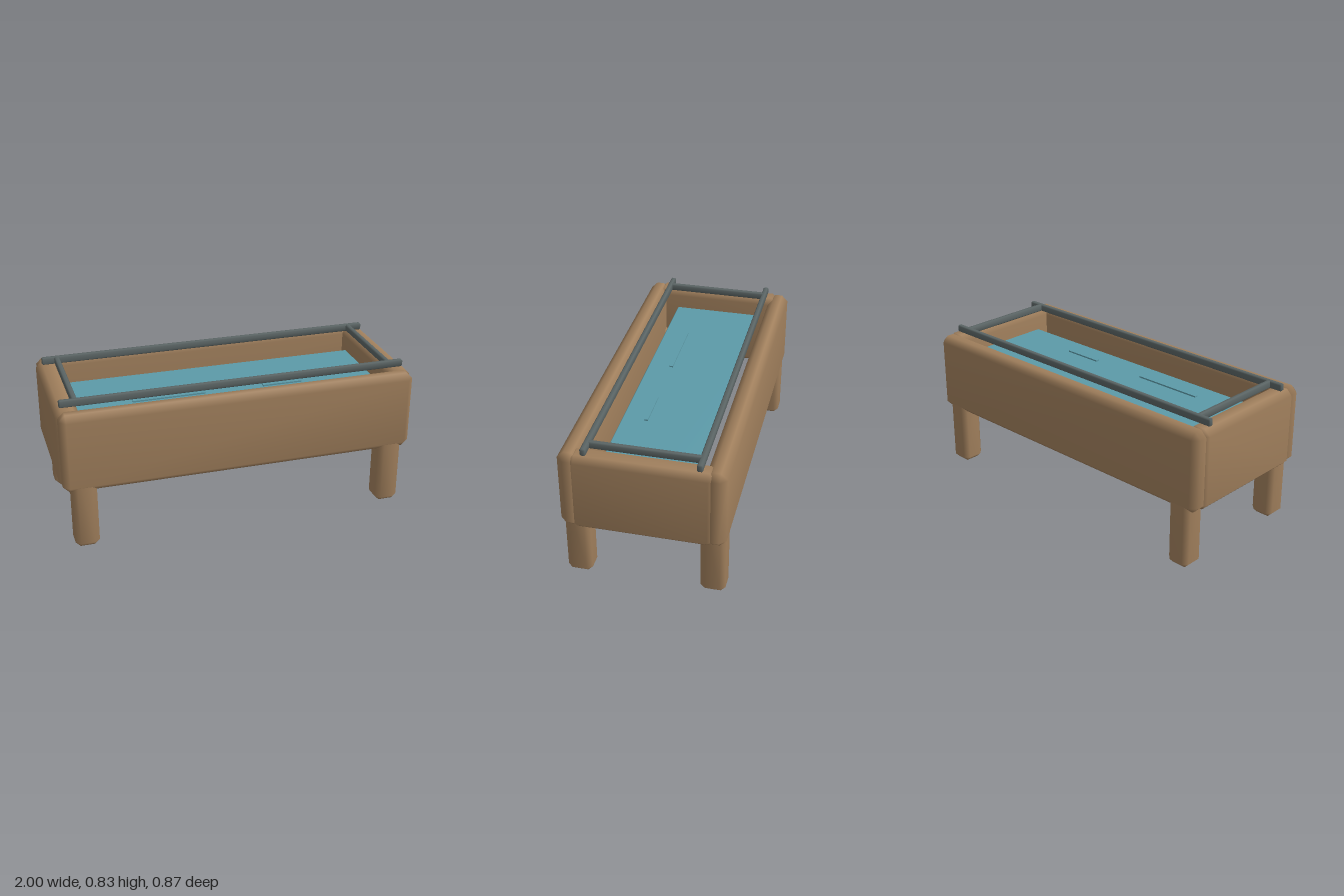
import * as THREE from 'three';
import { mergeVertices } from 'three/addons/utils/BufferGeometryUtils.js';
import { ConvexGeometry } from 'three/addons/geometries/ConvexGeometry.js';

// Box with a single chamfer on every edge and softly shaded corners
function chamferBox(w, h, d, c) {
  const points = [];
  for (const sx of [-1, 1]) for (const sy of [-1, 1]) for (const sz of [-1, 1]) {
    const x = w / 2, y = h / 2, z = d / 2;
    points.push(
      new THREE.Vector3(sx * x, sy * (y - c), sz * (z - c)),
      new THREE.Vector3(sx * (x - c), sy * y, sz * (z - c)),
      new THREE.Vector3(sx * (x - c), sy * (y - c), sz * z)
    );
  }
  const hull = new ConvexGeometry(points);
  hull.deleteAttribute('normal');
  const geometry = mergeVertices(hull, 1e-4);
  geometry.computeVertexNormals();
  return geometry;
}

export function createModel() {
  const model = new THREE.Group();
  model.name = 'waterTrough';

  const wood = new THREE.MeshStandardMaterial({ name: 'wood', color: 0xa07f5c });
  const metal = new THREE.MeshStandardMaterial({ name: 'metal', color: 0x5a6464 });
  const water = new THREE.MeshStandardMaterial({ name: 'water', color: 0x5c9aa8 });

  const add = (name, geometry, material, x, y, z) => {
    const mesh = new THREE.Mesh(geometry, material);
    mesh.name = name;
    mesh.position.set(x, y, z);
    model.add(mesh);
  };

  const longBoard = chamferBox(1.98, 0.45, 0.112, 0.035);
  const endBoard = chamferBox(0.13, 0.45, 0.75, 0.033);
  const leg = chamferBox(0.133, 0.52, 0.135, 0.027);
  const longRail = chamferBox(1.94, 0.041, 0.03, 0.007);
  const crossRail = chamferBox(0.03, 0.04, 0.59, 0.007);

  for (const s of [-1, 1]) {
    const side = s > 0 ? 'Left' : 'Right';
    const face = s > 0 ? 'front' : 'back';
    // Trough walls
    add(face + 'Board', longBoard, wood, 0, 0.565, s * 0.38);
    add('endBoard' + side, endBoard, wood, s * 0.935, 0.565, 0);
    // Metal frame resting on the rim
    add(face + 'Rail', longRail, metal, 0, 0.81, s * 0.297);
    add('crossRail' + side, crossRail, metal, s * 0.885, 0.81, 0);
    // Legs reaching up inside the corners
    for (const z of [-1, 1]) {
      add((z > 0 ? 'front' : 'back') + 'Leg' + side, leg, wood, s * 0.877, 0.26, z * 0.362);
    }
  }

  // Water sheet with two raised ripples
  add('waterSurface', chamferBox(1.73, 0.022, 0.495, 0.006), water, 0, 0.672, -0.002);
  for (const [from, to] of [[-0.54, -0.13], [0.21, 0.44]]) {
    add('ripple', new THREE.BoxGeometry(to - from, 0.009, 0.02), water, (from + to) / 2, 0.687, 0.113);
  }

  return model;
}
